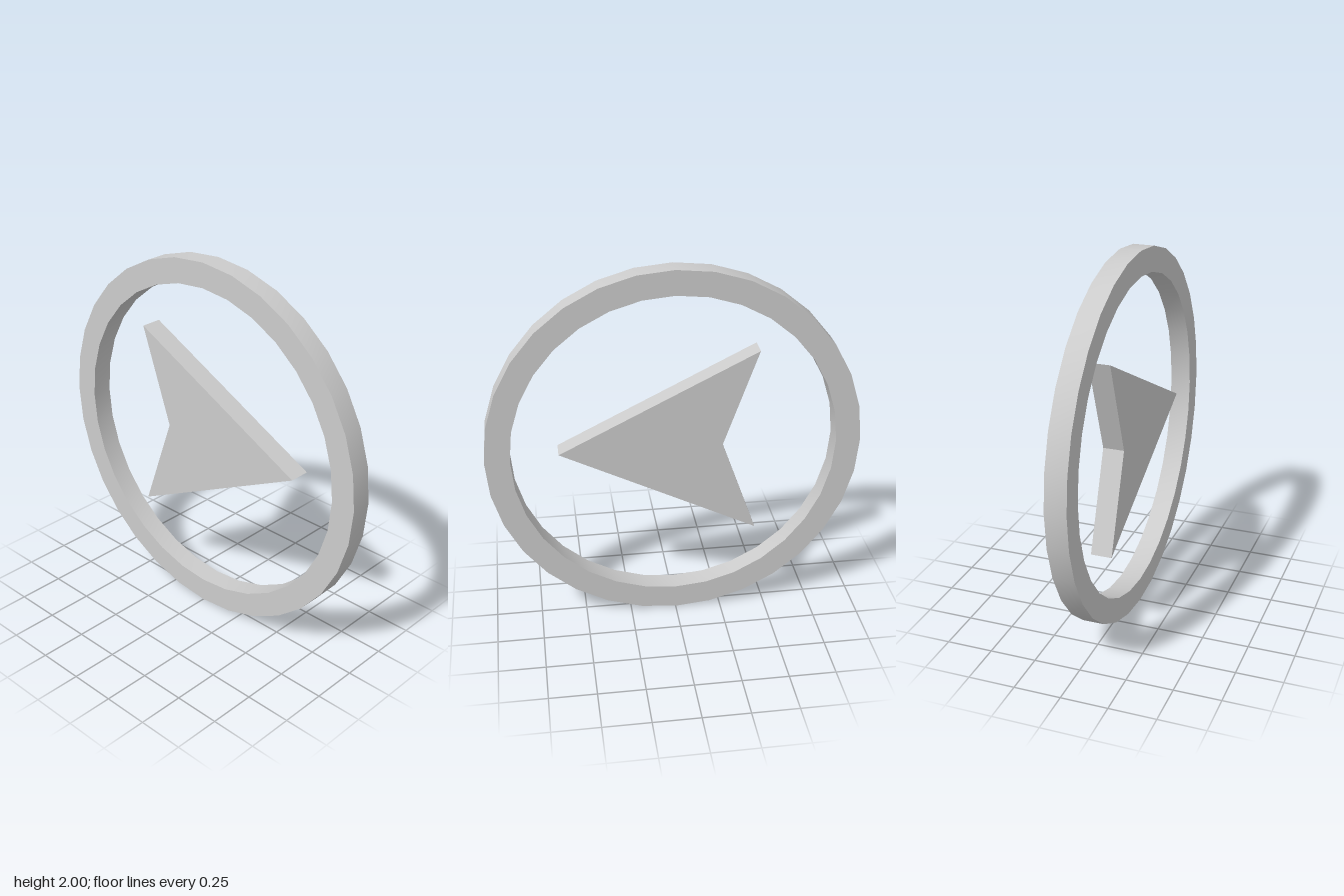
import * as THREE from 'three';
import { toCreasedNormals } from 'three/addons/utils/BufferGeometryUtils.js';

const HALF = 0.057; // half thickness shared by ring and arrow
const CENTRE_Y = 1;

export function createModel() {
  const group = new THREE.Group();
  const material = new THREE.MeshStandardMaterial({ color: 0xcccccc });

  // Ring: rectangular section turned in 32 steps, then stood upright
  const section = [[1, -HALF], [1, HALF], [0.867, HALF], [0.867, -HALF], [1, -HALF]]
    .map(([r, y]) => new THREE.Vector2(r, y));
  const ringGeometry = toCreasedNormals(new THREE.LatheGeometry(section, 32), Math.PI / 6);
  ringGeometry.rotateX(Math.PI / 2);
  const ring = new THREE.Mesh(ringGeometry, material);
  ring.name = 'ring';
  ring.position.y = CENTRE_Y;
  group.add(ring);

  // Arrowhead: notched triangle pointing to +x, set slightly above the ring's centre
  const outline = [[0.615, 0], [-0.438, 0.525], [-0.251, 0], [-0.438, -0.525]]
    .map(([x, y]) => new THREE.Vector2(x, y));
  const arrowGeometry = new THREE.ExtrudeGeometry(new THREE.Shape(outline), {
    depth: 2 * HALF,
    bevelEnabled: false,
  });
  const arrow = new THREE.Mesh(arrowGeometry, material);
  arrow.name = 'arrowhead';
  arrow.position.set(0, CENTRE_Y + 0.02, -HALF);
  group.add(arrow);

  return group;
}
